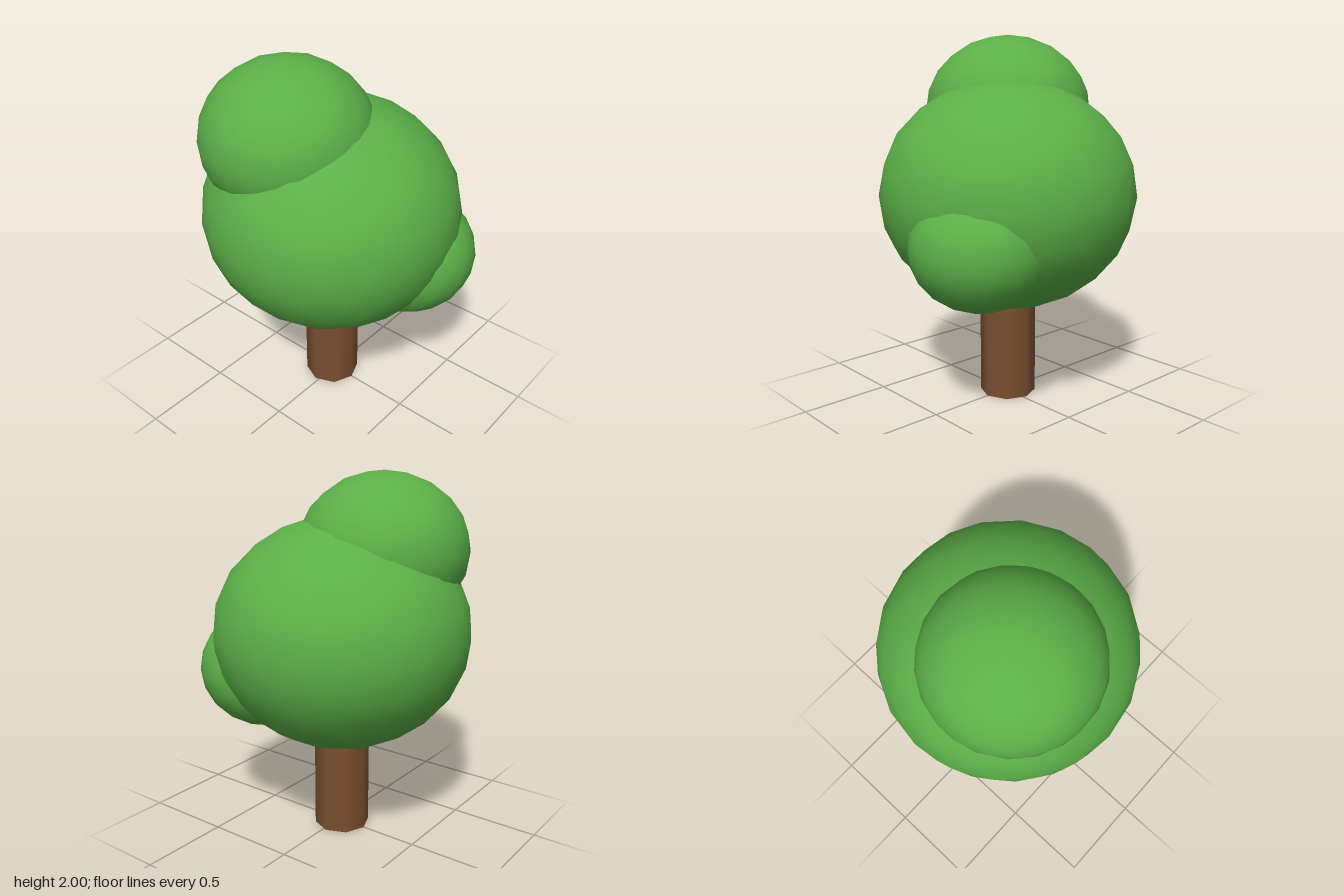
import * as THREE from 'three';

export function createModel() {
  const tree = new THREE.Group();
  tree.name = 'tree';

  const leafGreen = new THREE.MeshStandardMaterial({ color: 0x5cb048 });
  leafGreen.name = 'leafGreen';
  const barkBrown = new THREE.MeshStandardMaterial({ color: 0x7a4f30 });
  barkBrown.name = 'barkBrown';

  // Trunk: straight eight-sided post reaching into the crown
  const trunkHeight = 0.8;
  const trunk = new THREE.Mesh(
    new THREE.CylinderGeometry(0.155, 0.155, trunkHeight, 8), barkBrown);
  trunk.name = 'trunk';
  trunk.position.set(-0.02, trunkHeight / 2, 0);
  tree.add(trunk);

  // Leaf ball: icosphere turned so that a vertex sits at each pole
  const ball = new THREE.IcosahedronGeometry(1, 3);
  ball.rotateZ(-Math.atan(2 / (1 + Math.sqrt(5))));

  // Foliage: slightly flattened balls
  function addFoliage(name, radius, [x, y, z], yaw) {
    const mesh = new THREE.Mesh(ball, leafGreen);
    mesh.name = name;
    mesh.scale.set(radius, radius * 0.9, radius);
    mesh.position.set(x, y, z);
    mesh.rotation.y = yaw;
    tree.add(mesh);
  }
  addFoliage('mainCrown', 0.703, [-0.02, 1.143, 0], 0);
  addFoliage('topFoliage', 0.463, [-0.17, 1.583, 0.165], -0.1);
  addFoliage('sideFoliage', 0.37, [0.352, 0.93, -0.2], -0.1);

  return tree;
}
